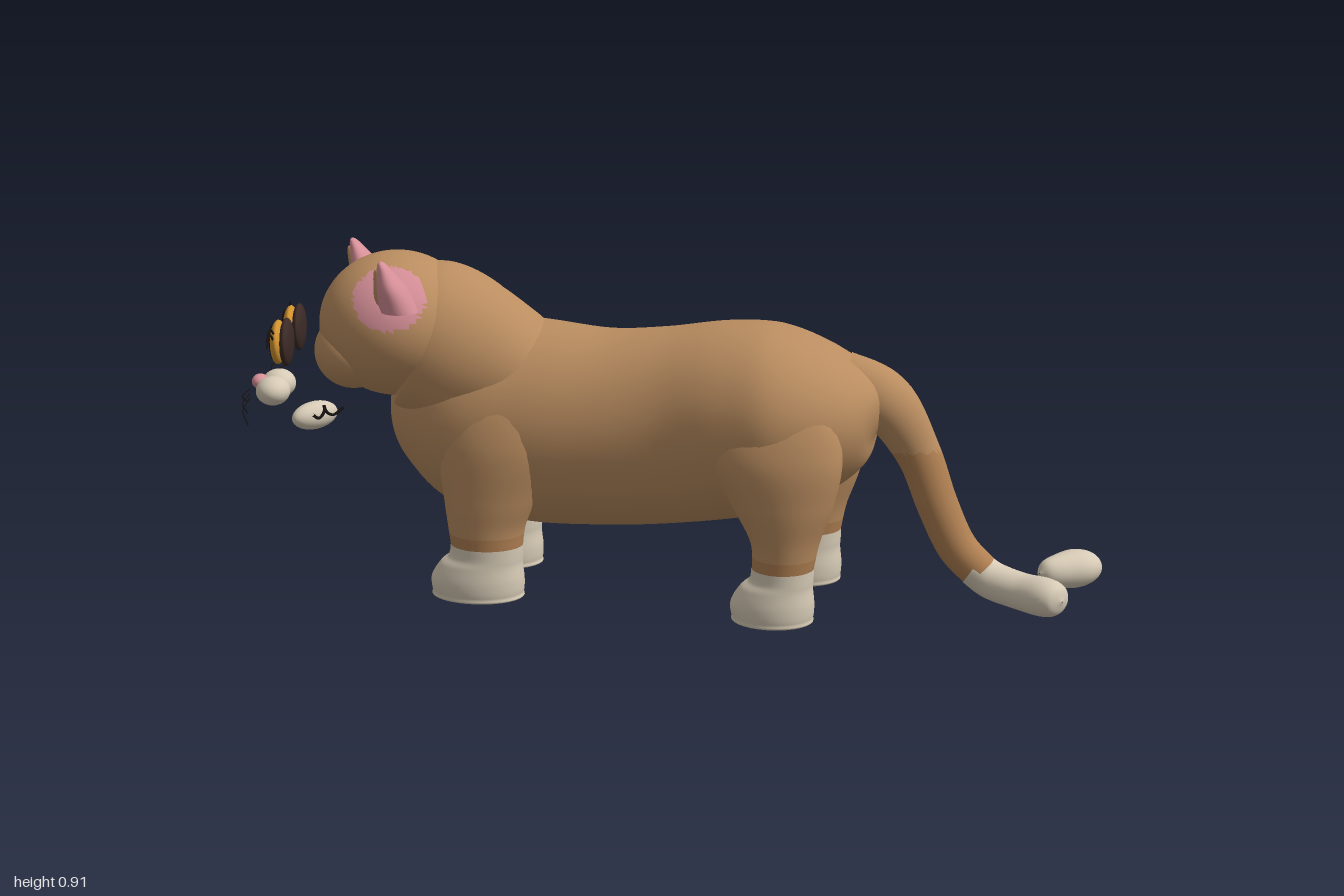
import * as THREE from 'three';

const paint = (name, color) => {
  const m = new THREE.MeshStandardMaterial({ color });
  m.name = name;
  return m;
};
const V = (x, y, z) => new THREE.Vector3(x, y, z);
const YAW = 0.445;   // direction of the body
const FACE = -0.82;  // direction of the face

// Smooth skin through sections [x, y, z, radius along ref, radius across]; axis fixes the ring planes
function loft(sections, ref, rings = 40, sides = 32, axis = null) {
  const path = new THREE.CatmullRomCurve3(sections.map(s => V(s[0], s[1], s[2])), false, 'catmullrom', 0.5);
  const size = new THREE.CatmullRomCurve3(sections.map(s => V(s[3], s[4], 0)), false, 'catmullrom', 0.5);
  const pos = [], index = [];
  for (let i = 0; i <= rings; i++) {
    const c = path.getPoint(i / rings), r = size.getPoint(i / rings), T = axis || path.getTangent(i / rings);
    const U = ref.clone().addScaledVector(T, -ref.dot(T)).normalize();
    const W = T.clone().cross(U);
    for (let j = 0; j < sides; j++) {
      const a = j / sides * Math.PI * 2;
      const p = c.clone().addScaledVector(U, Math.max(r.x, 0.001) * Math.cos(a))
        .addScaledVector(W, Math.max(r.y, 0.001) * Math.sin(a));
      pos.push(p.x, p.y, p.z);
      if (i < rings) {
        const k = i * sides + j, n = i * sides + (j + 1) % sides;
        index.push(k, n, k + sides, n, n + sides, k + sides);
      }
    }
  }
  const g = new THREE.BufferGeometry();
  g.setAttribute('position', new THREE.Float32BufferAttribute(pos, 3));
  g.setIndex(index);
  g.computeVertexNormals();
  return g;
}

function ellipsoid(center, radii, yaw = 0) {
  return new THREE.SphereGeometry(1, 64, 48).scale(...radii).rotateY(yaw).translate(...center);
}

// Sorts triangles into two material groups by a rule on their centres
function splitFaces(g, test) {
  const p = g.attributes.position, lists = [[], []];
  for (let i = 0; i < g.index.count; i += 3) {
    const f = [0, 1, 2].map(k => g.index.getX(i + k));
    const c = V(0, 0, 0);
    f.forEach(k => c.add(V(p.getX(k), p.getY(k), p.getZ(k)).divideScalar(3)));
    lists[test(c) ? 1 : 0].push(...f);
  }
  g.setIndex([...lists[0], ...lists[1]]);
  g.addGroup(0, lists[0].length, 0);
  g.addGroup(lists[0].length, lists[1].length, 1);
  return g;
}

export function createModel() {
  const fur = paint('brown fur', 0xba8d60), tan = paint('tan fur', 0xb08052), cream = paint('cream', 0xd6cab5);
  const pink = paint('pink', 0xd68f98), gold = paint('golden iris', 0xd0912f);
  const dark = paint('dark brown', 0x3c2a26), black = paint('black', 0x17120f);
  const model = new THREE.Group();
  const add = (parent, name, geometry, material) => {
    const m = new THREE.Mesh(geometry, material);
    m.name = name;
    parent.add(m);
  };
  const line = (parent, name, pts, r = 0.003) =>
    add(parent, name, new THREE.TubeGeometry(new THREE.CatmullRomCurve3(pts.map(p => V(...p))), 14, r, 6), black);
  const X = V(1, 0, 0), Y = V(0, 1, 0), DOWN = V(0, -1, 0);

  // Torso and legs, lengthwise on x, then turned
  const body = new THREE.Group();
  body.name = 'body';
  body.rotation.y = YAW;
  model.add(body);
  const trunk = [ // s, top, bottom, half width
    [-0.70, 0.52, 0.48, 0.01], [-0.68, 0.60, 0.40, 0.10], [-0.61, 0.67, 0.31, 0.185], [-0.48, 0.73, 0.21, 0.24],
    [-0.30, 0.72, 0.175, 0.238], [-0.1, 0.705, 0.18, 0.225], [0.08, 0.72, 0.20, 0.225], [0.25, 0.745, 0.23, 0.255],
    [0.38, 0.74, 0.26, 0.27], [0.50, 0.695, 0.33, 0.225], [0.59, 0.63, 0.41, 0.14], [0.63, 0.53, 0.50, 0.01]];
  add(body, 'torso', loft(trunk.map(([s, t, b, w]) => [s, (t + b) / 2, -0.01, (t - b) / 2, w]), Y, 66, 40), fur);

  function leg(name, s, t, sections, r, w) {
    const upper = loft(sections.map(([ds, y, a, b, dt]) => [s + ds, y, t + Math.sign(t) * dt, a, b]), X, 60, 32, DOWN);
    add(body, name, splitFaces(upper, c => c.y < 0.18), [fur, tan]);
    const f = s - 0.026;
    add(body, name + 'Paw', loft([
      [s, 0.148, t, r + 0.002, w + 0.002], [s - 0.003, 0.118, t, r + 0.004, w + 0.003],
      [f + 0.01, 0.095, t, r + 0.016, w + 0.008], [f, 0.055, t, r + 0.03, w + 0.014], [f, 0.02, t, r + 0.028, w + 0.012],
      [f, 0.004, t, r + 0.018, w + 0.002], [f, 0, t, 0.002, 0.002]], X, 60, 32, DOWN), cream);
  }
  const foreleg = [[0.03, 0.62, 0.03, 0.02, -0.03], [0.03, 0.54, 0.13, 0.06, -0.005], [0.025, 0.42, 0.155, 0.092, 0],
    [0.01, 0.28, 0.125, 0.094, 0], [0, 0.2, 0.104, 0.09, 0], [0, 0.14, 0.095, 0.087, 0]];
  const hindleg = [[-0.01, 0.66, 0.03, 0.02, -0.05], [-0.02, 0.56, 0.14, 0.07, -0.015], [-0.025, 0.44, 0.175, 0.1, 0],
    [-0.005, 0.32, 0.135, 0.1, 0], [0.005, 0.22, 0.09, 0.088, 0], [0, 0.14, 0.078, 0.082, 0]];
  leg('leftForeleg', -0.395, 0.158, foreleg, 0.095, 0.087);
  leg('rightForeleg', -0.44, -0.155, foreleg, 0.095, 0.087);
  leg('leftHindLeg', 0.405, 0.172, hindleg, 0.078, 0.082);
  leg('rightHindLeg', 0.40, -0.212, hindleg, 0.078, 0.082);

  // Tail with cream tip, and the loose cream piece behind it
  add(model, 'tail', splitFaces(loft([
    [0.46, 0.62, -0.22, 0.05, 0.07], [0.55, 0.55, -0.30, 0.068, 0.078], [0.605, 0.41, -0.372, 0.055, 0.062],
    [0.645, 0.27, -0.408, 0.052, 0.056], [0.69, 0.16, -0.435, 0.052, 0.052], [0.75, 0.095, -0.46, 0.05, 0.05]], X),
  c => c.y < 0.42), [fur, tan]);
  add(model, 'tailTip', loft([
    [0.735, 0.107, -0.453, 0.05, 0.05], [0.78, 0.075, -0.472, 0.05, 0.051], [0.86, 0.06, -0.482, 0.048, 0.053],
    [0.94, 0.06, -0.477, 0.05, 0.056], [0.98, 0.06, -0.472, 0.037, 0.042], [0.995, 0.06, -0.47, 0.002, 0.002]], Y), cream);
  add(model, 'loosePaw', loft([
    [0.825, 0.065, -0.63, 0.002, 0.002], [0.83, 0.064, -0.65, 0.032, 0.028], [0.843, 0.06, -0.70, 0.046, 0.047],
    [0.858, 0.058, -0.76, 0.05, 0.06], [0.865, 0.058, -0.81, 0.035, 0.045], [0.868, 0.058, -0.835, 0.002, 0.002]], Y), cream);

  // Head and neck with pink patches by the ears
  const head = new THREE.Group();
  head.name = 'head';
  model.add(head);
  const streak = new THREE.Line3(V(-0.71, 0.84, 0.31), V(-0.46, 0.82, 0.15));
  const near = V(0, 0, 0);
  const isPink = c => {
    const along = streak.closestPointToPointParameter(c, true);
    return streak.at(along, near).distanceTo(c) < 0.085 - 0.035 * along || c.distanceTo(V(-0.445, 0.815, 0.5)) < 0.095;
  };
  const skin = [fur, pink];
  add(head, 'skull', splitFaces(ellipsoid([-0.55, 0.715, 0.368], [0.216, 0.19, 0.205], FACE), isPink), skin);
  add(head, 'neck', splitFaces(loft([
    [-0.20, 0.55, 0.10, 0.12, 0.12], [-0.30, 0.57, 0.16, 0.17, 0.17], [-0.41, 0.62, 0.24, 0.205, 0.19],
    [-0.50, 0.69, 0.32, 0.2, 0.192], [-0.56, 0.71, 0.37, 0.12, 0.12]], Y, 60, 60), isPink), skin);
  add(head, 'muzzle', ellipsoid([-0.63, 0.645, 0.45], [0.145, 0.1, 0.105], FACE), fur);

  const across = V(Math.cos(FACE), 0, -Math.sin(FACE));
  for (const [side, bx, bz, tx, tz] of [['left', -0.435, 0.47, -0.44, 0.53], ['right', -0.695, 0.30, -0.75, 0.335]]) {
    const mid = k => [bx + (tx - bx) * k, 0.78 + 0.133 * k, bz + (tz - bz) * k];
    add(head, side + 'Ear', loft([
      [...mid(0), 0.082, 0.055], [...mid(0.45), 0.066, 0.04], [...mid(0.8), 0.036, 0.02],
      [...mid(0.95), 0.018, 0.01], [...mid(1), 0.002, 0.002]], across, 24, 28, Y), pink);
    // inner ear lies just proud of the front
    add(head, side + 'InnerEar', loft([
      [...mid(0.1), 0.05, 0.052], [...mid(0.45), 0.044, 0.037], [...mid(0.8), 0.016, 0.018],
      [...mid(0.84), 0.002, 0.002]], across, 16, 24, Y).translate(-0.006, 0, 0.006), fur);
  }

  // Eyes, standing in front of the face
  for (const [side, x, z, m] of [['left', -0.72, 0.625, 1], ['right', -0.837, 0.475, -1]]) {
    const eye = new THREE.Group();
    eye.name = side + 'Eye';
    eye.position.set(x, 0.68, z);
    eye.rotation.y = -0.85;
    head.add(eye);
    add(eye, 'eyeBack', ellipsoid([0, 0, -0.014], [0.083, 0.062, 0.018]), dark);
    add(eye, 'iris', ellipsoid([0, 0, 0.008], [0.074, 0.057, 0.02]), gold);
    add(eye, 'pupil', ellipsoid([0, 0, 0.022], [0.026, 0.047, 0.01]), black);
    for (const k of [0, 1])
      line(eye, 'lash', [[m * 0.06, 0.035 - k * 0.02, 0.012], [m * 0.085, 0.05 - k * 0.015, 0.018],
        [m * 0.11, 0.02 - k * 0.015, 0.024]]);
  }

  // Whisker pads, nose, chin and mouth
  add(head, 'leftWhiskerPad', ellipsoid([-0.77, 0.54, 0.615], [0.055, 0.038, 0.045], FACE), cream);
  add(head, 'rightWhiskerPad', ellipsoid([-0.825, 0.54, 0.545], [0.055, 0.038, 0.045], FACE), cream);
  add(head, 'nose', ellipsoid([-0.83, 0.555, 0.606], [0.03, 0.02, 0.022], FACE), pink);
  add(head, 'chin', ellipsoid([-0.692, 0.473, 0.541], [0.036, 0.037, 0.074]), cream);
  for (const m of [-1, 1])
    line(head, 'mouth', [[-0.655, 0.505, 0.541], [-0.652, 0.488, 0.541 + m * 0.004],
      [-0.648, 0.476, 0.541 + m * 0.025], [-0.64, 0.492, 0.541 + m * 0.055]], 0.004);

  // Whiskers
  for (const k of [-1, 0, 1]) {
    const y = 0.537 + k * 0.012, end = 0.537 + k * 0.032;
    line(head, 'leftWhisker', [[-0.80, y, 0.67], [-0.73, y + k * 0.008, 0.755], [-0.635, end, 0.82]], 0.0015);
    line(head, 'rightWhisker', [[-0.87, y, 0.53], [-0.95, y + k * 0.008, 0.455], [-0.995, end, 0.35]], 0.0015);
  }
  return model;
}
